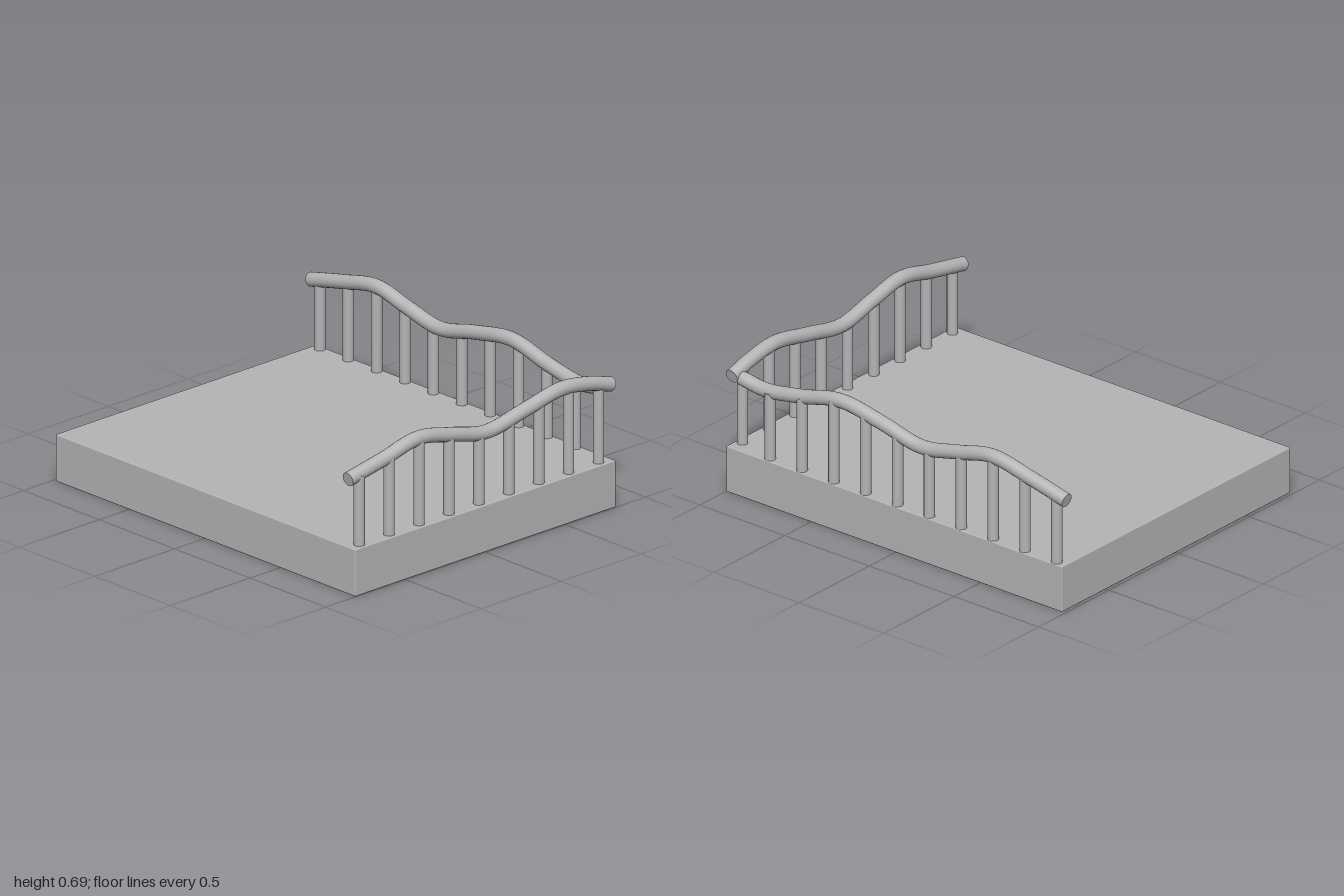
import * as THREE from 'three';
import { RoundedBoxGeometry } from 'three/addons/geometries/RoundedBoxGeometry.js';

const BASE_TOP = 0.23;
const RAIL_RADIUS = 0.034;

export function createModel() {
  const model = new THREE.Group();
  model.name = 'railedPlatform';

  const grey = new THREE.MeshStandardMaterial({ color: 0xb4b4b4 });
  grey.name = 'plain grey';

  const add = (name, geometry, parent = model) => {
    const mesh = new THREE.Mesh(geometry, grey);
    mesh.name = name;
    parent.add(mesh);
    return mesh;
  };

  // Solid platform with slightly softened edges
  add('platform', new RoundedBoxGeometry(1.63, BASE_TOP, 1.985, 2, 0.006))
    .position.set(0, BASE_TOP / 2, 0.0075);

  // Wavy handrail with closed ends, standing on evenly spaced round posts
  function addRailing(name, points, posts) {
    const railing = new THREE.Group();
    railing.name = name;
    model.add(railing);

    const curve = new THREE.CatmullRomCurve3(points.map((p) => new THREE.Vector3(...p)));
    add(name + 'Handrail', new THREE.TubeGeometry(curve, 80, RAIL_RADIUS, 20), railing);
    for (const t of [0, 1]) {
      const cap = add(name + 'HandrailEnd', new THREE.CircleGeometry(RAIL_RADIUS, 20), railing);
      const outward = curve.getTangentAt(t).multiplyScalar(t ? 1 : -1);
      cap.position.copy(curve.getPointAt(t));
      cap.quaternion.setFromUnitVectors(new THREE.Vector3(0, 0, 1), outward);
    }

    // Posts end inside the handrail, at the height of its centre line
    const samples = curve.getSpacedPoints(300);
    for (const [x, z, axis] of posts) {
      const at = axis === 'x' ? x : z;
      const near = samples.reduce((a, b) =>
        Math.abs(b[axis] - at) < Math.abs(a[axis] - at) ? b : a);
      const bottom = BASE_TOP - 0.01;
      const height = near.y - bottom;
      add(name + 'Post', new THREE.CylinderGeometry(0.026, 0.026, height, 20), railing)
        .position.set(x, bottom + height / 2, z);
    }
  }

  // Front railing
  addRailing('frontRailing', [
    [-0.815, 0.56, 0.952], [-0.6, 0.602, 0.955], [-0.38, 0.648, 0.957],
    [-0.18, 0.611, 0.958], [0.04, 0.565, 0.959], [0.28, 0.608, 0.961],
    [0.51, 0.651, 0.963], [0.68, 0.63, 0.964], [0.815, 0.592, 0.966],
  ], Array.from({ length: 9 }, (_, i) => [-0.755 + i * 0.187, 0.963, 'x']));

  // Railing along the left side, meeting the front one at the corner
  addRailing('leftRailing', [
    [0.775, 0.578, 0.94], [0.775, 0.561, 0.8], [0.777, 0.593, 0.59],
    [0.779, 0.645, 0.35], [0.781, 0.608, 0.1], [0.782, 0.561, -0.13],
    [0.783, 0.602, -0.35], [0.785, 0.645, -0.55], [0.786, 0.603, -0.78],
    [0.787, 0.555, -0.99],
  ], Array.from({ length: 10 }, (_, i) => [0.788, 0.76 - i * 0.188, 'z']));

  return model;
}
